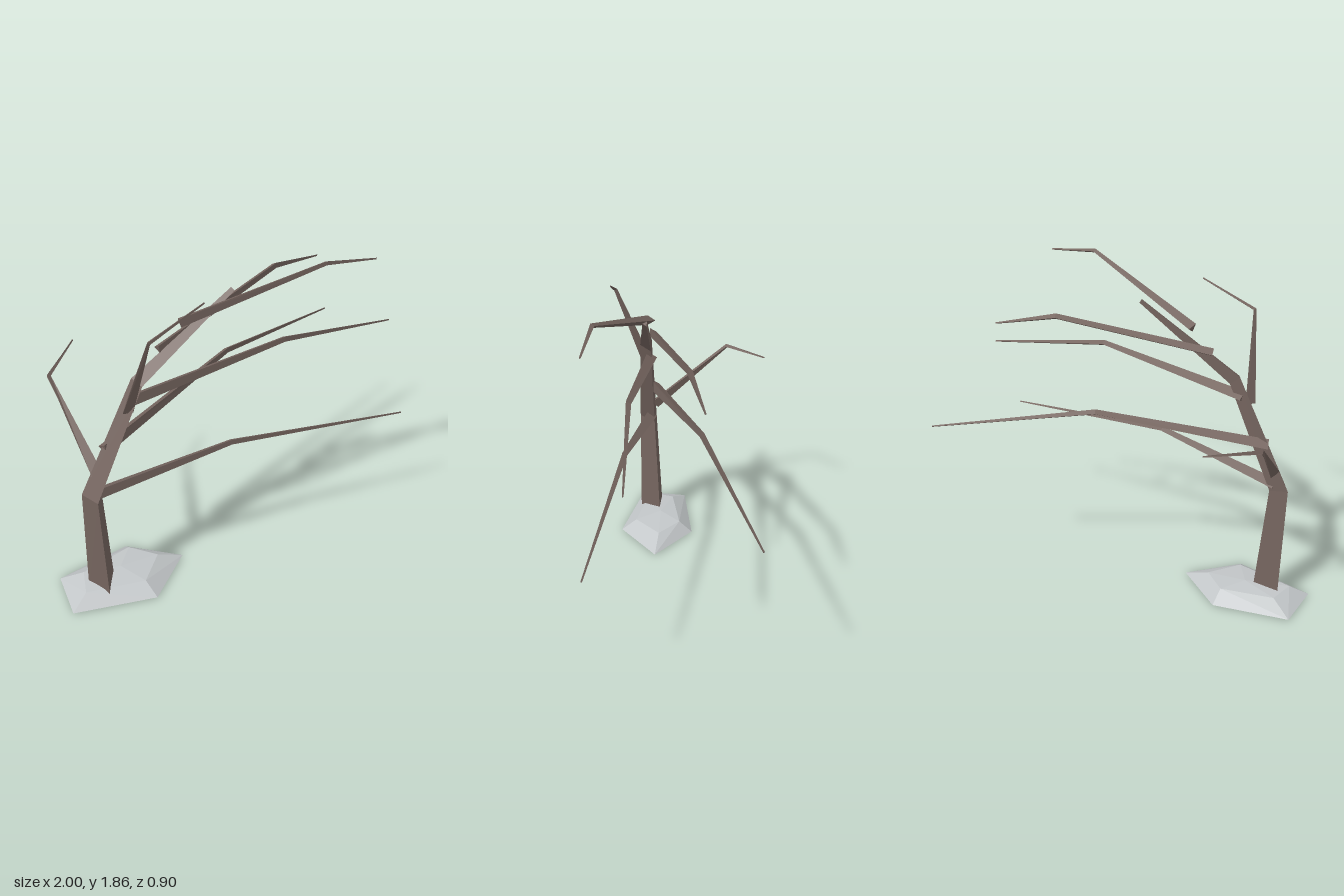
import * as THREE from 'three';
import { ConvexGeometry } from 'three/addons/geometries/ConvexGeometry.js';

// Faceted three-sided limb swept along a path; each node is [x, y, z, radius].
// One corner of the section points towards `apex`.
function limbGeometry(nodes, apex) {
  const pts = nodes.map(([x, y, z]) => new THREE.Vector3(x, y, z));
  const dirs = pts.slice(1).map((p, i) => p.clone().sub(pts[i]).normalize());
  const rings = pts.map((p, i) => {
    const t = dirs[Math.max(i - 1, 0)].clone().add(dirs[Math.min(i, dirs.length - 1)]).normalize();
    const f = apex.clone().addScaledVector(t, -apex.dot(t)).normalize();
    const b = new THREE.Vector3().crossVectors(t, f);
    return [0, 1, 2].map((k) => {
      const a = (k * Math.PI * 2) / 3;
      return p.clone()
        .addScaledVector(f, Math.cos(a) * nodes[i][3])
        .addScaledVector(b, Math.sin(a) * nodes[i][3]);
    });
  });
  const tris = [];
  for (let i = 0; i < rings.length - 1; i++) {
    const lo = rings[i], hi = rings[i + 1];
    for (let k = 0; k < 3; k++) {
      const n = (k + 1) % 3;
      tris.push(lo[k], lo[n], hi[n], lo[k], hi[n], hi[k]);
    }
  }
  const first = rings[0], last = rings[rings.length - 1];
  tris.push(first[0], first[2], first[1], last[0], last[1], last[2]);
  const geo = new THREE.BufferGeometry().setFromPoints(tris);
  geo.computeVertexNormals();
  return geo;
}

export function createModel() {
  const model = new THREE.Group();
  model.name = 'windsweptTree';

  const bark = new THREE.MeshStandardMaterial({ color: 0x75655f });
  bark.name = 'bark';
  const stone = new THREE.MeshStandardMaterial({ color: 0xc2c6c8 });
  stone.name = 'stone';

  const add = (name, geo, mat) => {
    const mesh = new THREE.Mesh(geo, mat);
    mesh.name = name;
    model.add(mesh);
  };
  const front = new THREE.Vector3(0, 0, 1);
  const back = new THREE.Vector3(0, 0, -1);

  // Low rock mound: wide foot, smaller upper ring and a slight crown
  const mound = [
    [-1, 0.004, 0.36], [-0.98, 0.004, 0.08], [-0.55, 0.004, 0], [-0.28, 0.004, 0.21], [-0.54, 0.004, 0.45],
    [-0.9, 0.065, 0.3], [-0.86, 0.066, 0.15], [-0.56, 0.072, 0.08], [-0.43, 0.065, 0.2], [-0.57, 0.066, 0.36],
    [-0.66, 0.082, 0.21],
  ];
  add('rock', new ConvexGeometry(mound.map((p) => new THREE.Vector3(...p))), stone);

  // Trunk bending over to the side
  add('trunk', limbGeometry([
    [-0.78, 0, 0.263, 0.088],
    [-0.802, 0.71, 0.282, 0.063],
    [-0.515, 1.325, 0.257, 0.043],
    [0.03, 1.69, 0.2, 0.015],
  ], front), bark);

  // Bent branches: start, elbow and tip, tapering along the way
  const branches = [
    { name: 'lowestBranch', path: [[-0.77, 0.725, 0.275], [-0.04, 0.86, 0.345], [1, 0.765, 0.415]] },
    { name: 'lowerBackBranch', path: [[-0.72, 0.975, 0.25], [0.15, 1.125, -0.1], [1, 0.99, -0.447]] },
    { name: 'middleBranch', path: [[-0.56, 1.23, 0.245], [0.3, 1.365, 0.265], [1, 1.26, 0.2]] },
    { name: 'upperBackBranch', path: [[-0.39, 1.465, 0.215], [0.41, 1.615, -0.055], [0.73, 1.553, -0.155]], r: 0.026 },
    { name: 'topBranch', path: [[-0.27, 1.585, 0.21], [0.43, 1.842, 0.405], [0.715, 1.806, 0.415]], r: 0.03, mid: 0.013 },
    { name: 'uprightTwig', path: [[-0.59, 1.19, 0.275], [-0.525, 1.66, 0.435], [-0.23, 1.79, 0.415]], r: 0.033, mid: 0.011 },
    { name: 'rearTwig', path: [[-0.765, 0.82, 0.25], [-0.845, 1.19, -0.19], [-0.63, 1.22, -0.42]], r: 0.034, mid: 0.013 },
  ];
  for (const { name, path, r = 0.037, mid = 0.018 } of branches) {
    const radii = [r, mid, 0.005];
    add(name, limbGeometry(path.map((p, i) => [...p, radii[i]]), back), bark);
  }

  return model;
}
